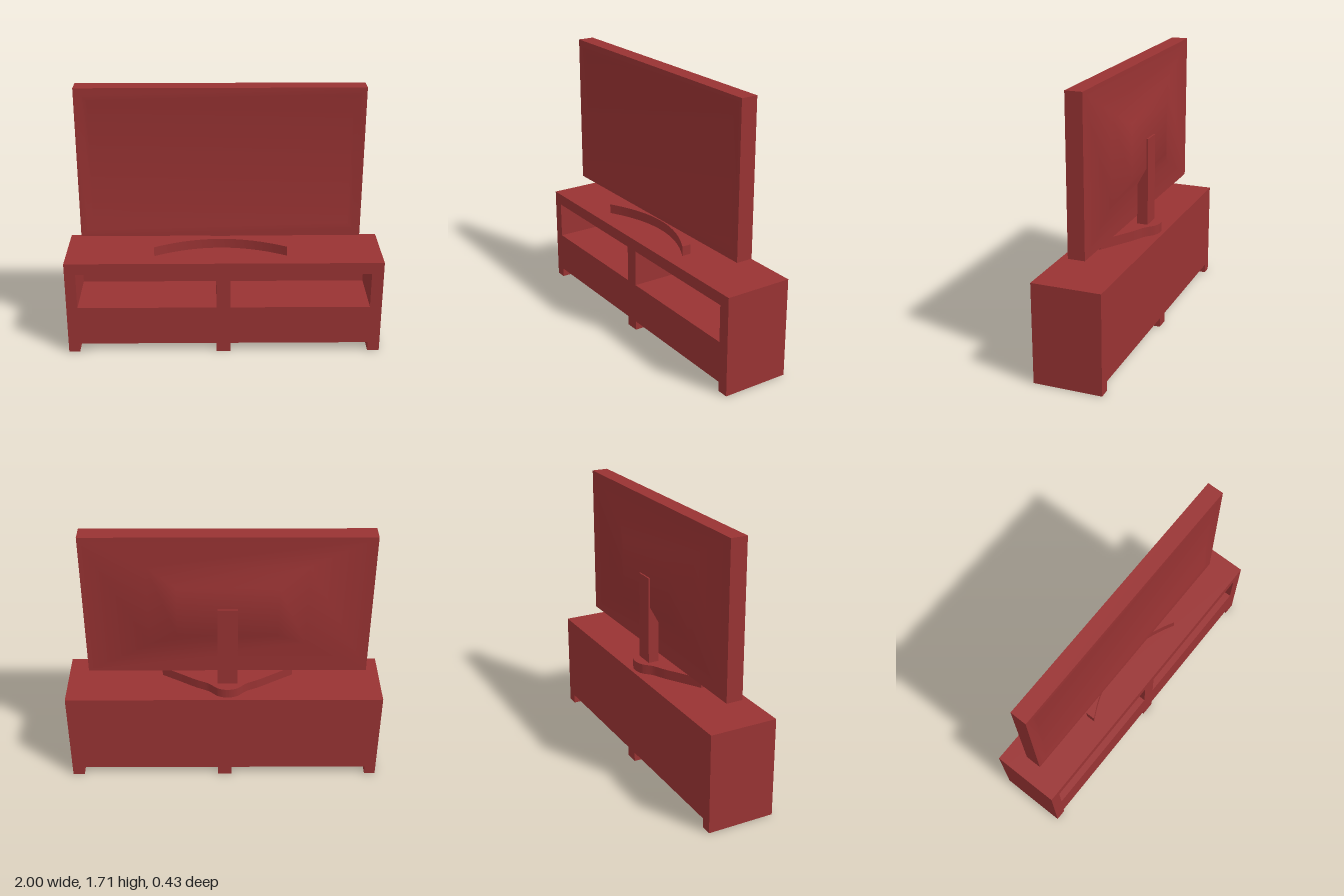
import * as THREE from 'three';
import { toCreasedNormals } from 'three/addons/utils/BufferGeometryUtils.js';

const material = new THREE.MeshStandardMaterial({ color: 0x993333 });

function addMesh(parent, name, geometry) {
  const mesh = new THREE.Mesh(geometry, material);
  mesh.name = name;
  parent.add(mesh);
  return mesh;
}

// Closed skin over rectangles [x0, x1, y0, y1, z] listed from front to back
function rectangleLoft(rects) {
  const positions = [];
  const index = [];
  for (const [x0, x1, y0, y1, z] of rects) {
    positions.push(x0, y0, z, x1, y0, z, x1, y1, z, x0, y1, z);
  }
  index.push(0, 1, 2, 0, 2, 3);
  for (let r = 0; r < rects.length - 1; r++) {
    for (let i = 0; i < 4; i++) {
      const a = r * 4 + i, b = r * 4 + (i + 1) % 4;
      index.push(a, a + 4, b, b, a + 4, b + 4);
    }
  }
  const e = (rects.length - 1) * 4;
  index.push(e, e + 2, e + 1, e, e + 3, e + 2);
  const geometry = new THREE.BufferGeometry();
  geometry.setAttribute('position', new THREE.Float32BufferAttribute(positions, 3));
  geometry.setIndex(index);
  return toCreasedNormals(geometry, 0.7);
}

// Front outline of the cabinet, including its three runner feet
function cabinetOutline() {
  return new THREE.Shape([
    [-1, 0], [-0.93, 0], [-0.93, 0.06], [-0.05, 0.06], [-0.05, 0], [0.04, 0],
    [0.04, 0.06], [0.925, 0.06], [0.925, 0], [1, 0], [1, 0.63], [-1, 0.63],
  ].map(([x, y]) => new THREE.Vector2(x, y)));
}

function extrude(shape, depth) {
  return new THREE.ExtrudeGeometry(shape, { depth, bevelEnabled: false, curveSegments: 24 });
}

function createCabinet() {
  const cabinet = new THREE.Group();
  cabinet.name = 'cabinet';

  // Body with two open compartments, closed by a back panel
  const body = cabinetOutline();
  for (const [x0, x1] of [[-0.93, -0.05], [0.04, 0.925]]) {
    body.holes.push(new THREE.Path([
      new THREE.Vector2(x0, 0.32), new THREE.Vector2(x0, 0.555),
      new THREE.Vector2(x1, 0.555), new THREE.Vector2(x1, 0.32),
    ]));
  }
  addMesh(cabinet, 'cabinetBody', extrude(body, 0.36)).position.z = -0.145;
  addMesh(cabinet, 'backPanel', extrude(cabinetOutline(), 0.07)).position.z = -0.215;
  return cabinet;
}

function createTelevision() {
  const television = new THREE.Group();
  television.name = 'television';
  television.position.x = -0.022;

  // Housing: recessed screen, bezel, sides and raised rear cover
  const inset = (d, z) => [-0.877 + d, 0.877 - d, 0.745 + d, 1.712 - d, z];
  addMesh(television, 'screenHousing', rectangleLoft([
    inset(0.08, 0.04),
    inset(0.045, 0.048),
    inset(0, 0.048),
    inset(0, -0.057),
    [-0.485, 0.485, 0.95, 1.51, -0.057],
    [-0.306, 0.306, 1.06, 1.4, -0.117],
  ]));

  // Upright carrying the housing
  const post = addMesh(television, 'standPost', new THREE.BoxGeometry(0.125, 0.57, 0.07));
  post.position.set(0, 0.965, -0.092);

  // Crescent base, drawn in plan with shape y pointing to the back
  const v = (x, z) => new THREE.Vector2(x, -z);
  const base = new THREE.Shape();
  base.moveTo(-0.418, 0 - 0.105);
  base.quadraticCurveTo(0, 0.135, 0.418, -0.105);
  base.lineTo(0.418, -0.045);
  base.splineThru([
    v(0.3, -0.025), v(0.2, -0.085), v(0.12, -0.125), v(0.06, -0.175), v(0, -0.19),
    v(-0.06, -0.175), v(-0.12, -0.125), v(-0.2, -0.085), v(-0.3, -0.025), v(-0.418, 0.045),
  ]);
  base.closePath();
  const baseGeometry = extrude(base, 0.062);
  baseGeometry.rotateX(-Math.PI / 2);
  addMesh(television, 'standBase', toCreasedNormals(baseGeometry, 0.7)).position.y = 0.63;
  return television;
}

export function createModel() {
  const model = new THREE.Group();
  model.name = 'televisionOnCabinet';
  model.add(createCabinet(), createTelevision());
  return model;
}
